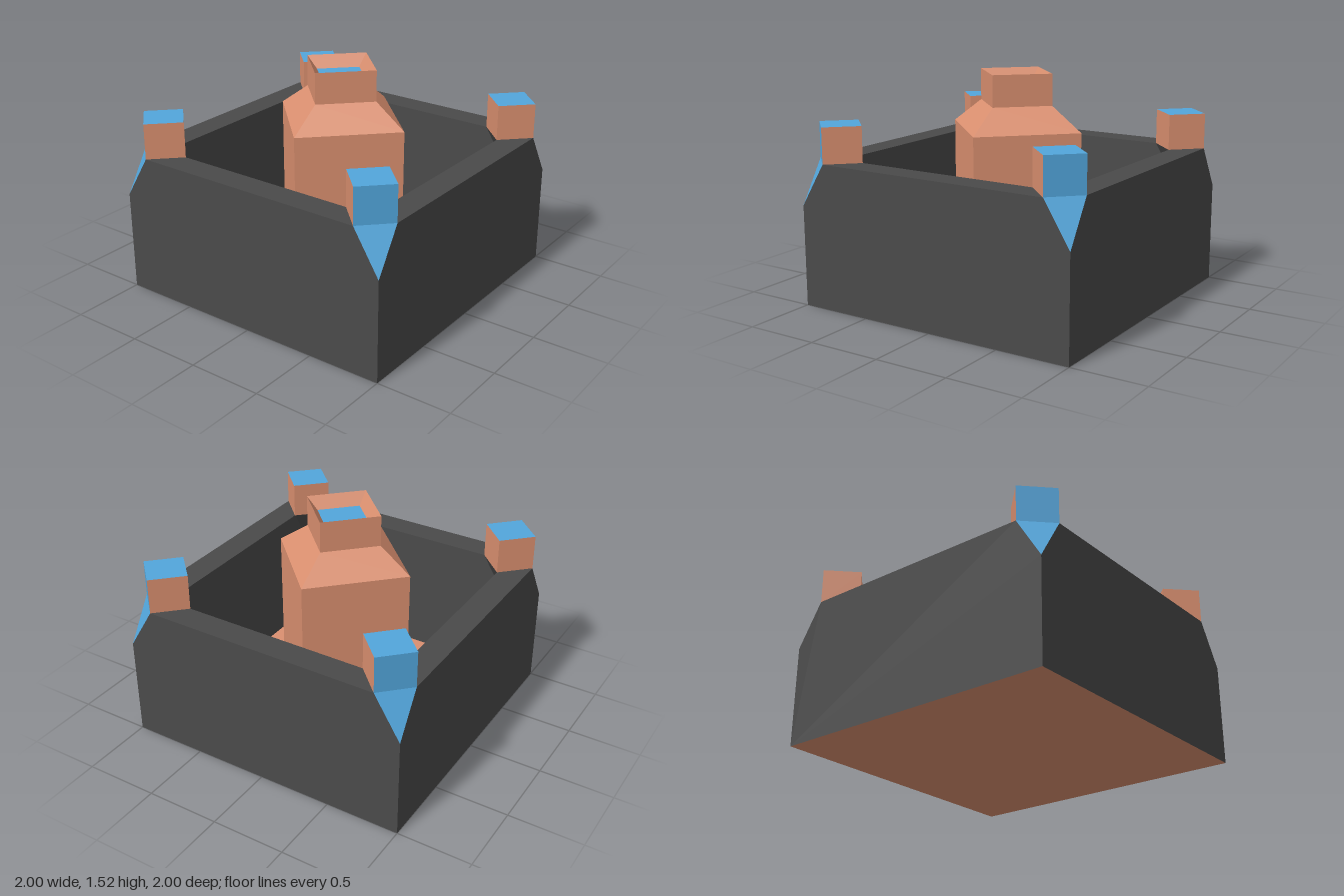
import * as THREE from 'three';

const material = (color) => new THREE.MeshStandardMaterial({ color, flatShading: true });

// Flat convex polygons, corners counter-clockwise seen from outside
function polygons(faces) {
  const pos = [];
  for (const f of faces)
    for (let i = 1; i < f.length - 1; i++) pos.push(...f[0], ...f[i], ...f[i + 1]);
  const g = new THREE.BufferGeometry();
  g.setAttribute('position', new THREE.Float32BufferAttribute(pos, 3));
  g.computeVertexNormals();
  return g;
}

export function createModel() {
  const model = new THREE.Group();
  const copper = material(0xdb9070);
  const blue = material(0x52a6dc);
  const dark = material(0x4a4a4a);

  const add = (parent, name, geometry, mat) => {
    const mesh = new THREE.Mesh(geometry, mat);
    mesh.name = name;
    parent.add(mesh);
    return mesh;
  };

  const rim = 0.97, cut = 0.68, c = 0.82, top = 1.21, inner = 0.64, floorY = 0.1;

  // One wall: outer face with clipped upper corners, rim and inner face
  const wallGeometry = polygons([
    [[-1, 0, 1], [1, 0, 1], [1, cut, 1], [c, rim, 1], [-c, rim, 1], [-1, cut, 1]],
    [[-c, rim, 1], [c, rim, 1], [c, rim, c], [-c, rim, c]],
    [[c, floorY, c], [-c, floorY, c], [-c, rim, c], [c, rim, c]],
  ]);

  // Corner post, a square turned by 45 degrees: a and b outer, d and e inner
  const a = (y) => [c, y, 1], b = (y) => [1, y, c];
  const d = (y) => [c, y, inner], e = (y) => [inner, y, c];
  const side = (p, q) => [p(rim), q(rim), q(top), p(top)];
  const postOuter = polygons([
    side(a, b),
    [a(top), b(top), d(top), e(top)],
    [a(rim), [1, cut, 1], b(rim)],
  ]);
  const postInner = polygons([side(b, d), side(d, e), side(e, a)]);
  // Bracket under the overhanging inner half of the post
  const bracket = polygons([[e(rim), d(rim), [c, cut, c]]]);

  for (let i = 0; i < 4; i++) {
    const quarter = new THREE.Group();
    quarter.name = 'wallAndCornerPost' + (i + 1);
    quarter.rotation.y = (i * Math.PI) / 2;
    add(quarter, 'wall', wallGeometry, dark);
    add(quarter, 'postOuterFace', postOuter, blue);
    add(quarter, 'postInnerFaces', postInner, copper);
    add(quarter, 'postBracket', bracket, dark);
    model.add(quarter);
  }

  // Floor of the yard and underside
  add(model, 'floor', polygons([
    [[-c, floorY, c], [c, floorY, c], [c, floorY, -c], [-c, floorY, -c]],
    [[-1, 0, -1], [1, 0, -1], [1, 0, 1], [-1, 0, 1]],
  ]), copper);

  // Central tower: four-sided turned profile with a funnel at the top
  const profile = [[0.5, floorY], [0.5, 1.15], [0.28, 1.31], [0.28, 1.52], [0.2, 1.44]];
  add(model, 'tower', new THREE.LatheGeometry(
    profile.map(([r, y]) => new THREE.Vector2(r, y)), 4).toNonIndexed(), copper);

  // Panel at the bottom of the funnel
  const panel = new THREE.CircleGeometry(0.2, 4).rotateX(-Math.PI / 2);
  add(model, 'towerPanel', panel, blue).position.y = 1.44;

  return model;
}
